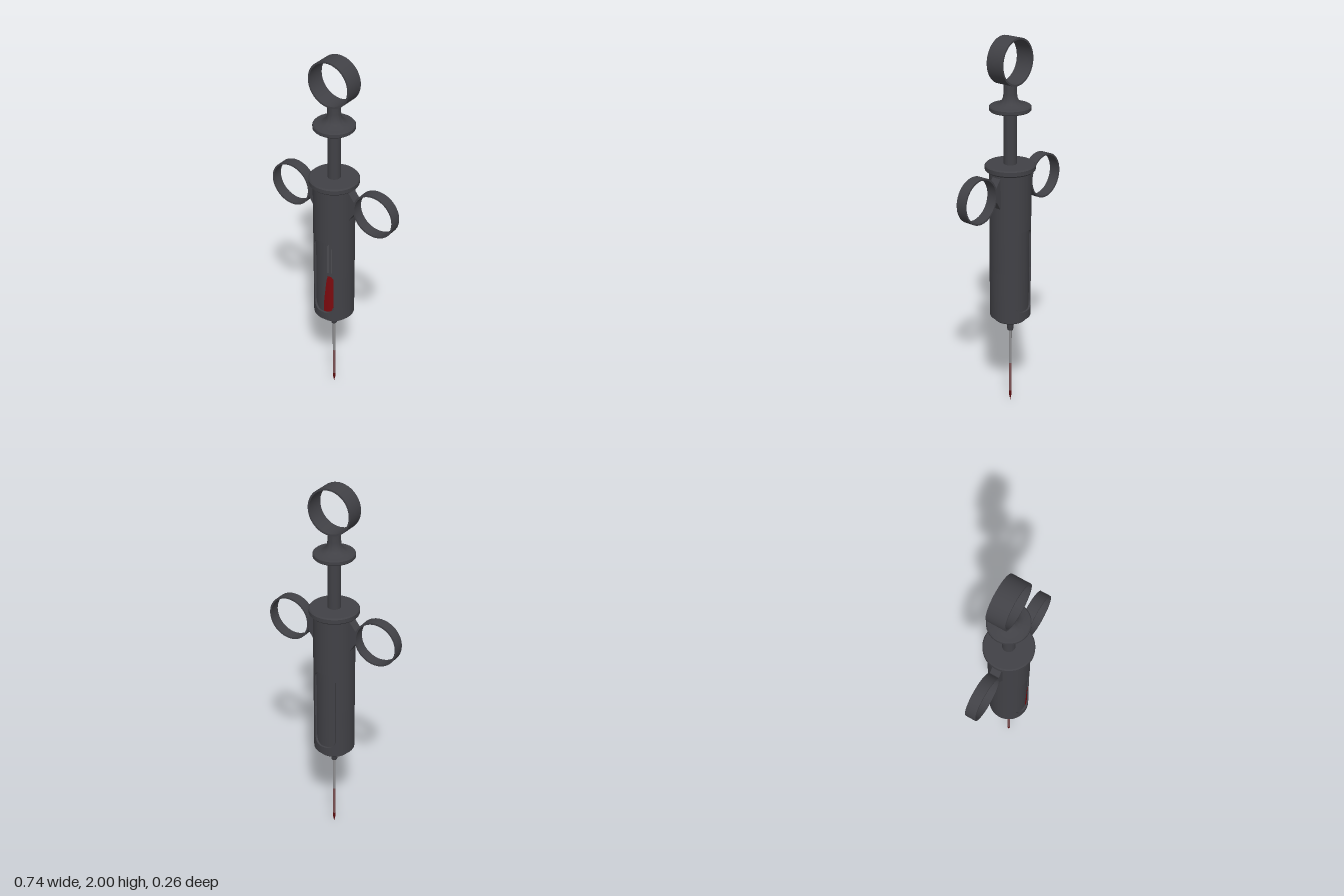
import * as THREE from 'three';
import { toCreasedNormals } from 'three/addons/utils/BufferGeometryUtils.js';

const paint = (name, color) => {
  const m = new THREE.MeshStandardMaterial({ color });
  m.name = name;
  return m;
};

export function createModel() {
  const root = new THREE.Group();
  root.name = 'syringe';
  const metal = paint('dark metal', 0x414146);
  const steel = paint('needle steel', 0x8e8e90);
  const stained = paint('stained steel', 0x7c5254);
  const tipRed = paint('tip red', 0x5e0c0e);
  const red = paint('red fluid', 0x7c0a0e);
  const glint = paint('glass streak', 0x56565b);

  const add = (name, geometry, material, parent = root) => {
    const mesh = new THREE.Mesh(geometry, material);
    mesh.name = name;
    parent.add(mesh);
    return mesh;
  };
  // Turned part from [radius, height] pairs, bottom to top
  const turned = (pts, seg = 40) => toCreasedNormals(
    new THREE.LatheGeometry(pts.map(p => new THREE.Vector2(...p)), seg), 0.6);
  // Flat-walled finger ring with its axis along z
  const ringGeometry = (r, depth, wall) => {
    const h = depth / 2, i = r - wall;
    return turned([[r, -h], [r, h], [i, h], [i, -h], [r, -h]], 48).rotateX(Math.PI / 2);
  };
  // Surface around the y axis between two [radius, height] edges
  const band = (angles, lo, hi) => {
    const pos = [], index = [];
    angles.forEach((a, k) => {
      for (const [r, y] of [lo(a, k), hi(a, k)]) pos.push(r * Math.sin(a), y, r * Math.cos(a));
      if (k) {
        const n = 2 * k;
        index.push(n - 2, n, n - 1, n, n + 1, n - 1);
      }
    });
    const g = new THREE.BufferGeometry();
    g.setAttribute('position', new THREE.Float32BufferAttribute(pos, 3));
    g.setIndex(index);
    g.computeVertexNormals();
    return g;
  };

  // Barrel sleeve with a rounded slot at the front and at the back
  const R = 0.107, RI = 0.097, W = 0.63, HALF = R * Math.sin(W), CORNER = 0.045;
  const angles = [];
  for (const turn of [0, Math.PI]) {
    angles.push(turn - W, turn - W + 0.001);
    for (let k = 1; k < 28; k++) angles.push(turn - W + 2 * W * k / 28);
    angles.push(turn + W - 0.001, turn + W);
    for (let k = 1; k < 20; k++) angles.push(turn + W + (Math.PI - 2 * W) * k / 20);
  }
  angles.push(2 * Math.PI - W);
  const slot = (a, sign) => {
    const x = Math.abs(R * Math.sin(a));
    if (x > HALF - 1e-6) return 0.795;
    const d = Math.max(0, x - HALF + CORNER);
    return 0.795 + sign * (0.225 - CORNER + Math.sqrt(CORNER ** 2 - d ** 2));
  };
  const barrel = new THREE.Group();
  barrel.name = 'barrel';
  root.add(barrel);
  const low = r => a => [r, slot(a, -1)], high = r => a => [r, slot(a, 1)];
  add('lowerSleeve', band(angles, () => [R, 0.525], low(R)), metal, barrel);
  add('upperSleeve', band(angles, high(R), () => [R, 1.33]), metal, barrel);
  add('slotSill', band(angles, low(R), low(RI)), metal, barrel);
  add('slotLintel', band(angles, high(RI), high(R)), metal, barrel);
  add('innerTube', new THREE.CylinderGeometry(RI, RI, 0.8, 64), metal, barrel).position.y = 0.93;
  add('topFlange', turned([[0, 1.325], [0.12, 1.325], [0.128, 1.333], [0.128, 1.354],
    [0.122, 1.36], [0, 1.36]]), metal, barrel);
  add('bottomCap', turned([[0, 0.5], [0.082, 0.5], [0.088, 0.506], [0.088, 0.525],
    [R, 0.525], [R, 0.53]]), metal, barrel);

  // Fluid and streak seen through the front slot
  const patch = (name, rows, material) => {
    // rows: [angle, bottom, top]
    add(name, band(rows.map(r => r[0]), (a, k) => [RI + 0.002, rows[k][1]],
      (a, k) => [RI + 0.002, rows[k][2]]), material, barrel);
  };
  patch('fluid', [[0.05, 0.575, 0.62], [0.12, 0.574, 0.69], [0.22, 0.574, 0.78], [0.29, 0.574, 0.81],
    [0.4, 0.577, 0.81], [0.5, 0.585, 0.805], [0.6, 0.61, 0.79]], red);
  patch('streak', [[0.27, 0.83, 0.99], [0.31, 0.83, 1.01], [0.33, 0.83, 1.01]], glint);
  patch('streakThin', [[0.49, 0.83, 0.96], [0.52, 0.83, 1.0]], glint);

  // Plunger rod, thumb disc and thumb ring
  add('plungerRod', new THREE.CylinderGeometry(0.033, 0.033, 0.3, 32), metal).position.y = 1.495;
  add('thumbDisc', turned([[0, 1.634], [0.1, 1.634], [0.105, 1.639], [0.105, 1.655], [0.1, 1.661],
    [0.068, 1.665], [0.048, 1.677], [0.037, 1.697], [0.033, 1.72], [0.033, 1.772]]), metal);
  add('thumbRing', ringGeometry(0.118, 0.097, 0.009), metal).position.y = 1.882;

  // Side finger rings with their brackets
  const bracket = new THREE.Shape([[0.09, 1.15], [0.107, 1.15], [0.138, 1.2], [0.138, 1.27],
    [0.107, 1.31], [0.09, 1.31]].map(p => new THREE.Vector2(...p)));
  for (const [name, turn] of [['leftGrip', 0], ['rightGrip', Math.PI]]) {
    const grip = new THREE.Group();
    grip.name = name;
    grip.rotation.y = turn;
    root.add(grip);
    add('fingerRing', ringGeometry(0.118, 0.056, 0.009), metal, grip).position.set(0.253, 1.233, 0);
    add('bracket', new THREE.ExtrudeGeometry(bracket, { depth: 0.05, bevelEnabled: false })
      .translate(0, 0, -0.025), metal, grip);
  }

  // Nozzle and needle
  add('nozzle', turned([[0, 0.428], [0.014, 0.428], [0.016, 0.432], [0.018, 0.5]], 24), metal);
  add('needleUpper', new THREE.CylinderGeometry(0.008, 0.008, 0.21, 16), steel).position.y = 0.335;
  add('needleLower', new THREE.CylinderGeometry(0.008, 0.008, 0.17, 16), stained).position.y = 0.145;
  add('needleTip', turned([[0, 0], [0.008, 0.04], [0.008, 0.06]], 16), tipRed);
  return root;
}
